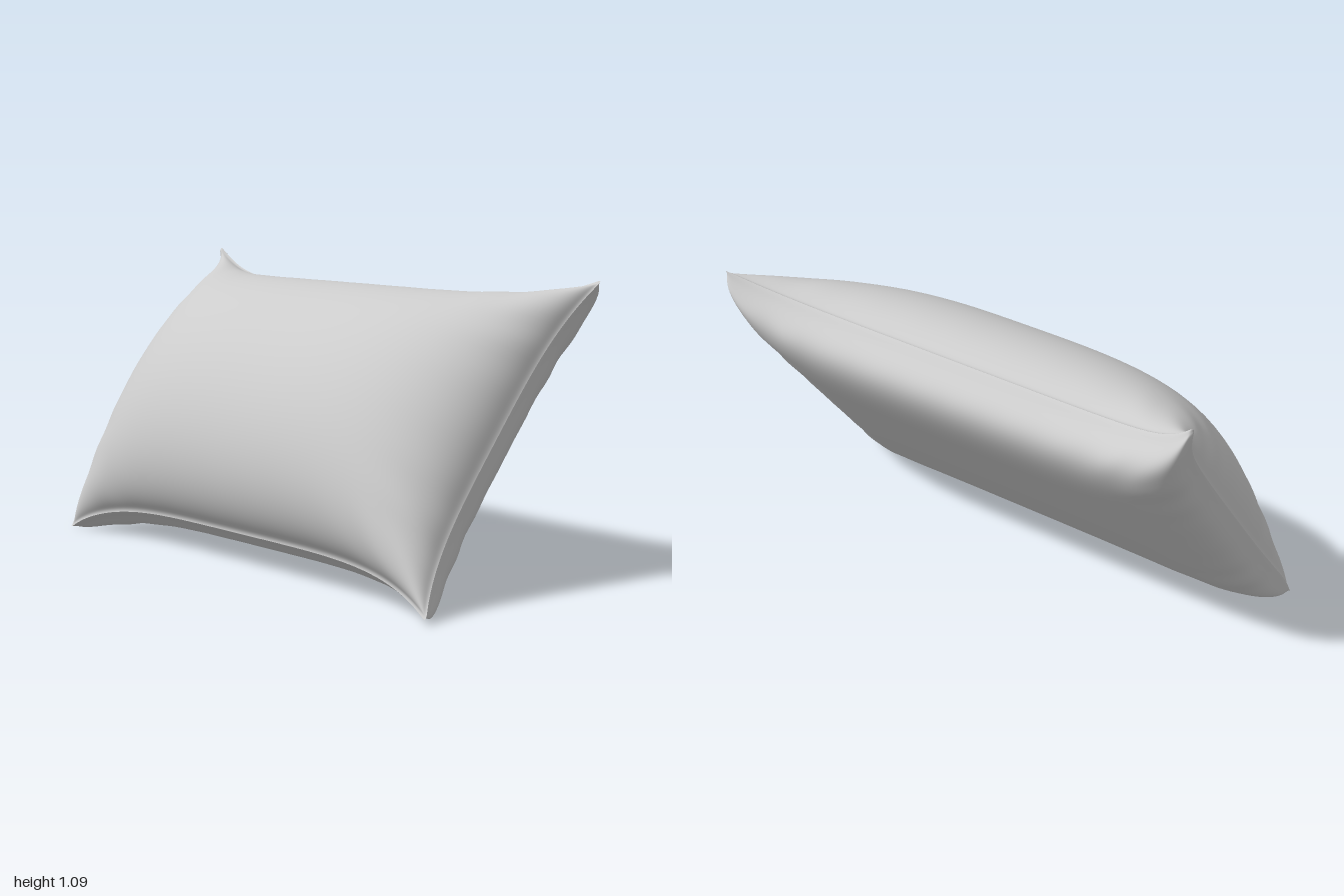
import * as THREE from 'three';

const N = 80; // grid cells per panel edge
const HALF_W = 0.655, HALF_L = 0.995;

// Grid parameter crowded towards the seams, -1..1
const spread = (i) => Math.sin(Math.PI / 2 * Math.sin(Math.PI / 2 * (2 * i / N - 1)));
const dome = (t, p, q) => Math.pow(Math.max(0, 1 - Math.pow(Math.abs(t), p)), q);
const bump = (t, c, w) => Math.exp(-(((t - c) / w) ** 2));
// Narrow lip of stitched fabric standing out along the seam
const lip = (t) => Math.sign(t) * 0.012 * Math.exp(-Math.sqrt((1 - Math.abs(t)) / 0.0004));

// Seam outline: corners stick out as ears, edges are drawn inwards
function outline(a, b) {
  const pullW = (a > 0 ? 0.13 : 0.125) * (1 - Math.abs(b) ** 4.5);
  const pullL = (b > 0 ? 0.09 : 0.035) * (1 - Math.abs(a) ** 3.5);
  return [a * (HALF_W - pullW) + lip(a), b * (HALF_L - pullL) + lip(b) * 0.6];
}

// Height of the seam itself, with the two twisted back corners
function seamHeight(a, b) {
  const back = Math.max(0, -b) ** 14;
  const twist = a > 0 ? 0.05 * a ** 14 : -0.02 * a ** 14;
  return 0.02 * a * a * (1 - b ** 4) + twist * back;
}

// Gathers running inwards from the seams, strongest near the corners
function gathers(a, b) {
  const longEdge = Math.abs(a) ** 10 * (bump(Math.abs(b), 0.78, 0.14) + 0.15);
  const endEdge = Math.abs(b) ** 14 * (bump(Math.abs(a), 0.6, 0.25) + 0.15);
  return 0.06 * longEdge * Math.sin(31 * b + 5 * a) + 0.06 * endEdge * Math.sin(23 * a + 3 * b);
}

// One fabric panel; side is 1 for the domed top, -1 for the flattened base
function panel(side) {
  const positions = [], index = [];
  for (let j = 0; j <= N; j++) {
    for (let i = 0; i <= N; i++) {
      const a = spread(i), b = spread(j);
      const [x, z] = outline(a, b);
      const fill = side > 0
        ? dome(a, 2, 0.53) * dome(b, 3.3, 0.5)
        : dome(a, 7, 0.29) * dome(b, 7, 0.32);
      const puff = (side > 0 ? 0.365 : -0.187) * fill;
      // The base walls bulge a little past the long seams
      const bulge = side > 0 ? 1 : 1 + 0.045 * fill;
      positions.push(x * bulge, seamHeight(a, b) + puff * (1 + gathers(a, b)), z);
    }
  }
  for (let j = 0; j < N; j++) {
    for (let i = 0; i < N; i++) {
      const p = j * (N + 1) + i, q = p + N + 1;
      if (side > 0) index.push(p, q, p + 1, p + 1, q, q + 1);
      else index.push(p, p + 1, q, p + 1, q + 1, q);
    }
  }
  const g = new THREE.BufferGeometry();
  g.setAttribute('position', new THREE.Float32BufferAttribute(positions, 3));
  g.setIndex(index);
  g.computeVertexNormals();
  return g;
}

export function createModel() {
  const material = new THREE.MeshStandardMaterial({ color: 0xcccccc, side: THREE.DoubleSide });
  const model = new THREE.Group();
  model.name = 'pillow';

  // Cushion leaning back on its long edge
  const cushion = new THREE.Group();
  cushion.name = 'cushion';
  for (const [name, side] of [['topPanel', 1], ['basePanel', -1]]) {
    const mesh = new THREE.Mesh(panel(side), material);
    mesh.name = name;
    cushion.add(mesh);
  }
  cushion.rotation.z = Math.atan2(1.03, 0.83);
  cushion.position.set(0.005, 0.545, 0);
  model.add(cushion);
  return model;
}
